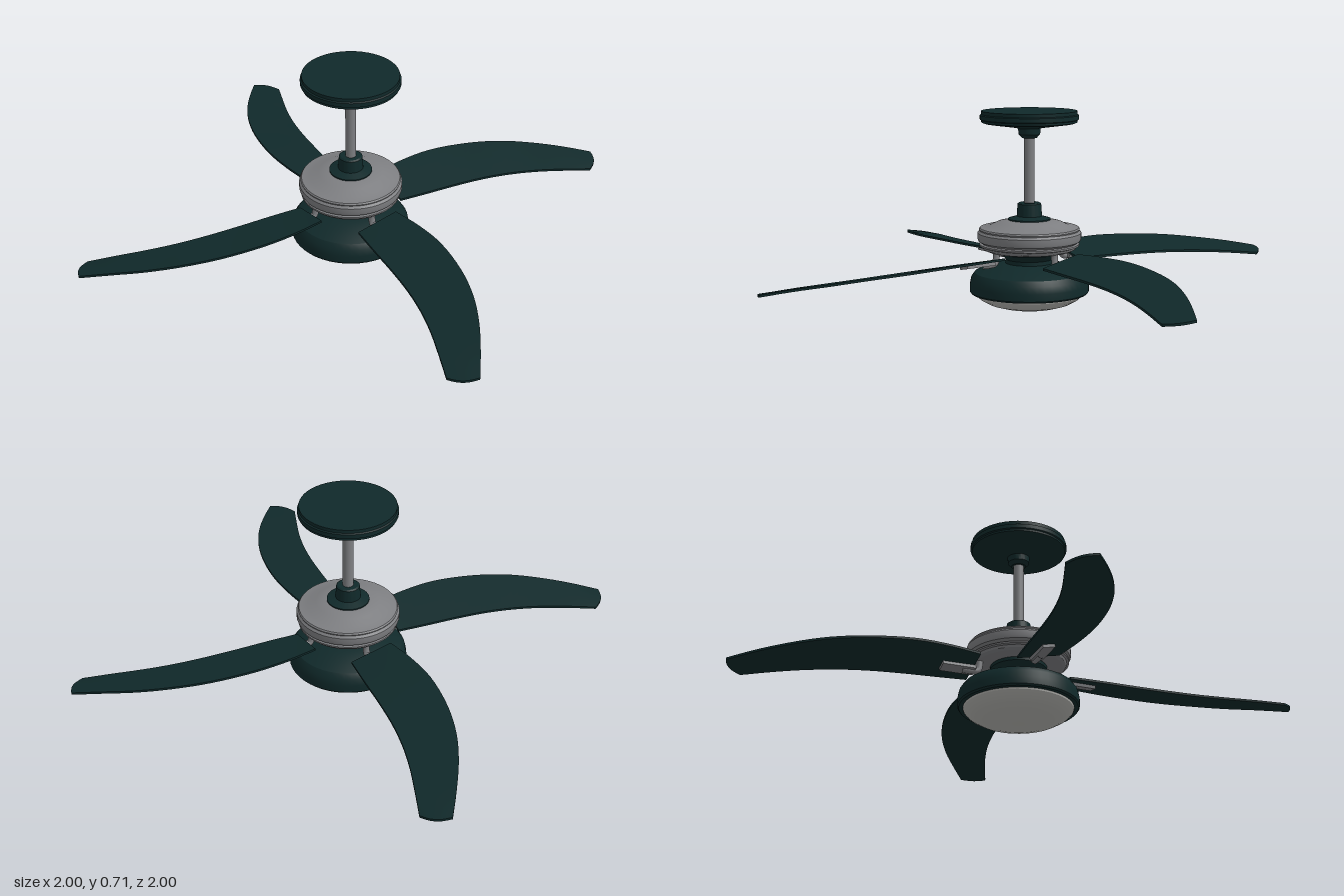
import * as THREE from 'three';
import { toCreasedNormals } from 'three/addons/utils/BufferGeometryUtils.js';

function material(name, color) {
  const m = new THREE.MeshStandardMaterial({ color });
  m.name = name;
  return m;
}

function addMesh(parent, name, geometry, mat) {
  const mesh = new THREE.Mesh(geometry, mat);
  mesh.name = name;
  parent.add(mesh);
  return mesh;
}

// Turned part; the profile runs from bottom to top as [radius, height]
function turned(profile) {
  const points = profile.map(([r, y]) => new THREE.Vector2(r, y));
  return toCreasedNormals(new THREE.LatheGeometry(points, 48), 0.5);
}

// Curved, pitched blade pointing along +x, lofted between its two edges
function bladeGeometry() {
  const curve = pts => new THREE.CatmullRomCurve3(pts.map(p => new THREE.Vector3(...p)));
  const back = curve([
    [0.17, 0.206, -0.085], [0.28, 0.208, -0.105], [0.41, 0.208, -0.113], [0.57, 0.2, -0.092],
    [0.7, 0.19, -0.052], [0.81, 0.176, 0.002], [0.91, 0.161, 0.066], [1.0, 0.143, 0.13]]);
  const front = curve([
    [0.17, 0.172, 0.07], [0.28, 0.17, 0.078], [0.41, 0.167, 0.085], [0.53, 0.163, 0.096],
    [0.64, 0.157, 0.115], [0.74, 0.15, 0.142], [0.84, 0.141, 0.177], [0.935, 0.13, 0.212]]);
  const rows = 28, across = 6, half = 0.004, ring = 2 * (across + 1);
  const pos = [], index = [];
  for (let i = 0; i <= rows; i++) {
    const t = i / rows, a = back.getPoint(t), b = front.getPoint(t);
    for (let k = 0; k < ring; k++) {
      const top = k <= across;
      const s = (top ? k : ring - 1 - k) / across;
      const p = a.clone().lerp(b, s);
      const bulge = Math.sin(Math.PI * s) * 0.012 * t ** 8; // rounded tip
      pos.push(p.x + bulge, p.y + (top ? half : -half), p.z + bulge * 0.7);
    }
  }
  for (let i = 0; i < rows; i++) {
    for (let k = 0; k < ring; k++) {
      const a = i * ring + k, b = i * ring + (k + 1) % ring;
      index.push(a, b, a + ring, b, b + ring, a + ring);
    }
  }
  for (let k = 0; k < across; k++) { // root and tip caps
    const e = rows * ring, k2 = ring - 1 - k;
    index.push(k, k2, k + 1, k + 1, k2, k2 - 1);
    index.push(e + k, e + k + 1, e + k2, e + k + 1, e + k2 - 1, e + k2);
  }
  const g = new THREE.BufferGeometry();
  g.setAttribute('position', new THREE.Float32BufferAttribute(pos, 3));
  g.setIndex(index);
  return toCreasedNormals(g, 0.6);
}

export function createModel() {
  const fan = new THREE.Group();
  fan.name = 'ceilingFan';
  const green = material('dark green', 0x10292a);
  const metal = material('brushed metal', 0x7e7f82);
  const glass = material('lamp glass', 0xb4b4b0);

  // Ceiling mount and rod
  addMesh(fan, 'ceilingCanopy', turned([
    [0, 0.612], [0.026, 0.612], [0.038, 0.625], [0.04, 0.646], [0.06, 0.65], [0.16, 0.664],
    [0.17, 0.668], [0.17, 0.675], [0.175, 0.678], [0.175, 0.693], [0.17, 0.696], [0.17, 0.708],
    [0, 0.708]]), green);
  const rod = addMesh(fan, 'downRod', new THREE.CylinderGeometry(0.019, 0.019, 0.3, 24), metal);
  rod.position.y = 0.48;
  addMesh(fan, 'rodCoupler', turned([
    [0, 0.31], [0.076, 0.31], [0.076, 0.325], [0.045, 0.334], [0.042, 0.378], [0.036, 0.382],
    [0, 0.382]]), green);

  // Motor housing with grooved rim
  addMesh(fan, 'motorHousing', turned([
    [0, 0.212], [0.155, 0.212], [0.166, 0.218], [0.17, 0.226], [0.178, 0.229], [0.178, 0.235],
    [0.17, 0.238], [0.182, 0.246], [0.185, 0.254], [0.185, 0.275], [0.178, 0.283], [0.18, 0.288],
    [0.176, 0.293], [0.145, 0.298], [0.115, 0.312], [0.075, 0.321], [0, 0.321]]), metal);

  // Neck, lamp housing and bowl
  addMesh(fan, 'neck', turned([
    [0, 0.14], [0.085, 0.14], [0.085, 0.18], [0.1, 0.2], [0.1, 0.214], [0, 0.214]]), green);
  addMesh(fan, 'lampHousing', turned([
    [0, 0.058], [0.208, 0.058], [0.213, 0.064], [0.213, 0.09], [0.208, 0.115], [0.195, 0.133],
    [0.16, 0.148], [0.11, 0.162], [0.085, 0.166], [0, 0.166]]), green);
  addMesh(fan, 'lampBowl', turned([
    [0, 0], [0.06, 0.002], [0.11, 0.01], [0.15, 0.022], [0.178, 0.038], [0.192, 0.052],
    [0.194, 0.06], [0, 0.06]]), glass);

  // Four blades, each on an elbow bracket
  const blade = bladeGeometry();
  const elbow = new THREE.TubeGeometry(new THREE.CatmullRomCurve3([
    new THREE.Vector3(0.146, 0.225, 0), new THREE.Vector3(0.146, 0.195, 0),
    new THREE.Vector3(0.152, 0.178, 0), new THREE.Vector3(0.175, 0.174, 0),
    new THREE.Vector3(0.21, 0.175, 0)]), 20, 0.012, 12);
  for (let i = 0; i < 4; i++) {
    const arm = new THREE.Group();
    arm.name = 'bladeArm' + (i + 1);
    arm.rotation.y = i * Math.PI / 2;
    addMesh(arm, 'blade', blade, green);
    addMesh(arm, 'bracketElbow', elbow, metal);
    const plate = addMesh(arm, 'bracketPlate', new THREE.BoxGeometry(0.12, 0.014, 0.045), metal);
    plate.position.set(0.225, 0.178, 0);
    plate.rotation.x = 0.21;
    fan.add(arm);
  }
  return fan;
}
